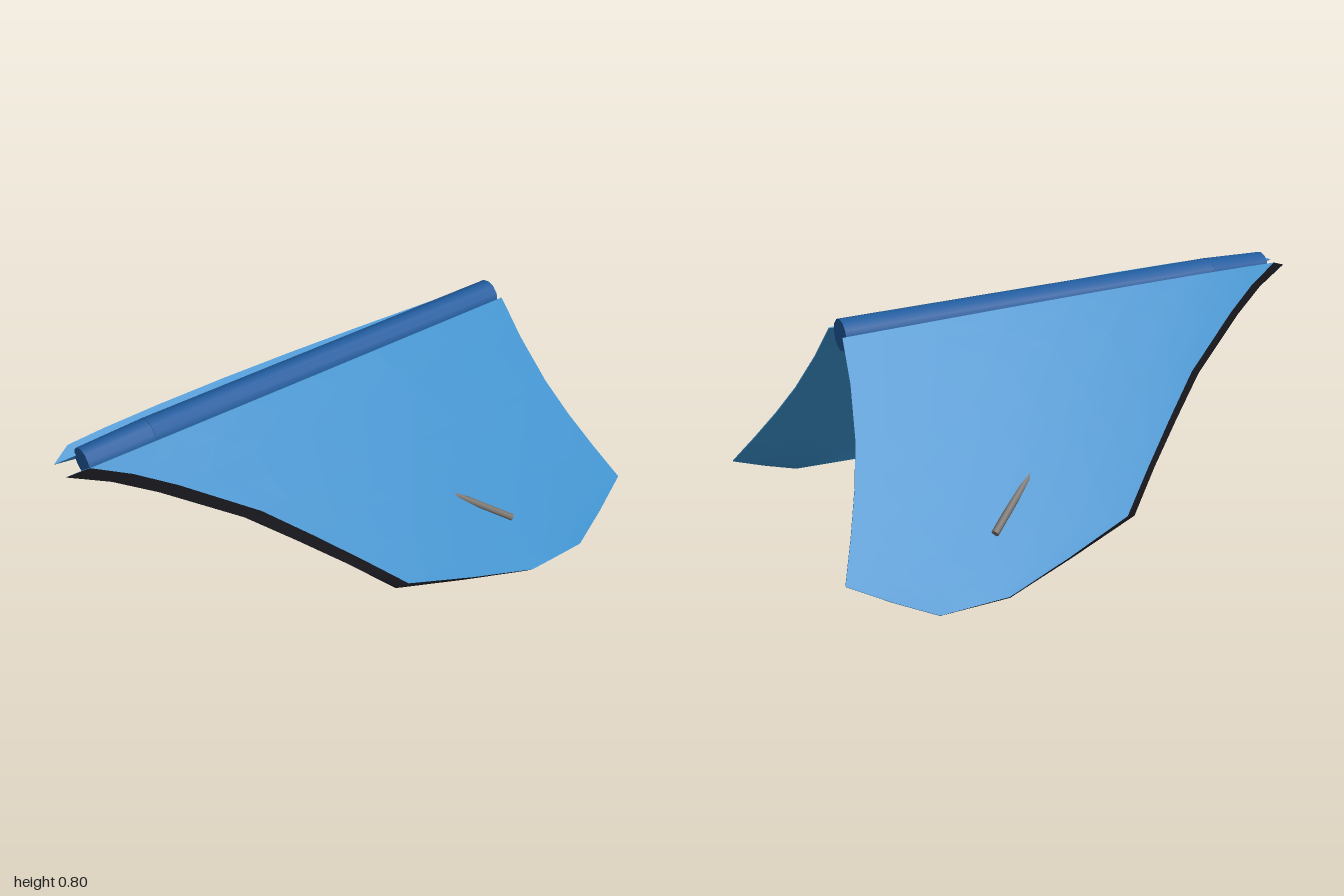
import * as THREE from 'three';

const mat = (name, color, side = THREE.FrontSide) => {
  const m = new THREE.MeshStandardMaterial({ color, side });
  m.name = name;
  return m;
};

// Wing stations, root to tip: [x, leading z, trailing z, edge setback]
const STATIONS = [
  [0.058, 0.99, -0.785, 0.07], [0.1, 0.855, -0.793, 0.06], [0.155, 0.72, -0.803, 0.055],
  [0.27, 0.475, -0.84, 0.05], [0.36, 0.325, -0.885, 0.045], [0.45, 0.18, -0.94, 0.04],
  [0.54, 0.045, -1.0, 0.04], [0.592, -0.225, -0.865, 0.02], [0.638, -0.48, -0.73, 0.01],
];
const CHORD = [0, 0.08, 0.2, 0.35, 0.5, 0.65, 0.8, 0.92, 1];
const ROOT = [0.058, 0.755], DIR = [0.614, -0.789], NORMAL = [0.789, 0.614];

// Point on the wing skin; outer or inner side, f = fraction of the chord from the front
function skinPoint(station, f, outer, s) {
  const [x, lead, trail, setback] = station;
  const t = (x - ROOT[0]) / (0.638 - ROOT[0]);
  const front = outer ? lead - setback : lead;
  const thick = 1 - 0.5 * t;
  const shape = outer
    ? 0.017 * (1 - f) + 0.019 * Math.sin(Math.PI * Math.pow(f, 0.75)) * (1 - t * 0.8)
    : -0.022 * (1 - f);
  const off = shape * thick + (outer ? 0.002 : -0.002);
  const along = (x - ROOT[0]) / DIR[0];
  return [
    s * (ROOT[0] + along * DIR[0] + off * NORMAL[0]),
    ROOT[1] + along * DIR[1] + off * NORMAL[1],
    front + (trail - front) * f,
  ];
}

// Surface from rows of points
function surface(rows, flip) {
  const cols = rows[0].length, index = [];
  for (let i = 0; i < rows.length - 1; i++) {
    for (let j = 0; j < cols - 1; j++) {
      const a = i * cols + j, b = a + 1, c = a + cols, d = c + 1;
      if (flip) index.push(a, c, b, b, c, d);
      else index.push(a, b, c, b, d, c);
    }
  }
  const g = new THREE.BufferGeometry();
  g.setAttribute('position', new THREE.Float32BufferAttribute(rows.flat(2), 3));
  g.setIndex(index);
  g.computeVertexNormals();
  return g;
}

function buildWing(s, skin, edge) {
  const wing = new THREE.Group();
  wing.name = s > 0 ? 'leftWing' : 'rightWing';
  const right = s < 0;
  const add = (name, rows, flip, material) => {
    const mesh = new THREE.Mesh(surface(rows, flip), material);
    mesh.name = name;
    wing.add(mesh);
  };
  const side = (outer) => STATIONS.map((st) => CHORD.map((f) => skinPoint(st, f, outer, s)));
  const pair = (st, f) => [skinPoint(st, f, true, s), skinPoint(st, f, false, s)];
  const root = STATIONS[0], tip = STATIONS[STATIONS.length - 1];
  add('outerSkin', side(true), !right, skin);
  add('innerSkin', side(false), right, skin);
  add('leadingEdge', STATIONS.map((st) => pair(st, 0)), right, edge);
  add('trailingEdge', STATIONS.map((st) => pair(st, 1)), !right, skin);
  add('rootEdge', CHORD.map((f) => pair(root, f)), !right, skin);
  add('tipEdge', CHORD.map((f) => pair(tip, f)), right, edge);
  return wing;
}

// Tapered rod between two points
function buildRod(from, to, r0, r1, material) {
  const a = new THREE.Vector3(...from), b = new THREE.Vector3(...to);
  const d = b.clone().sub(a);
  const rod = new THREE.Mesh(new THREE.CylinderGeometry(r1, r0, d.length(), 8), material);
  rod.position.copy(a).add(b).multiplyScalar(0.5);
  rod.quaternion.setFromUnitVectors(new THREE.Vector3(0, 1, 0), d.normalize());
  return rod;
}

export function createModel() {
  const model = new THREE.Group();
  model.name = 'foldedGlider';
  const skin = mat('wingBlue', 0x3a8fcb);
  const edge = mat('edgeBlack', 0x1a1a20);
  const spineBlue = mat('spineBlue', 0x205c9e);
  const grey = mat('strutGrey', 0x77736f);

  // Spine tube, slightly narrower at the nose
  const body = buildRod([0, 0.745, -0.77], [0, 0.745, 0.67], 0.055, 0.055, spineBlue);
  body.geometry = new THREE.CylinderGeometry(0.055, 0.055, 1.44, 12);
  body.name = 'spine';
  const nose = buildRod([0, 0.745, 0.67], [0, 0.74, 0.91], 0.055, 0.05, spineBlue);
  nose.geometry = new THREE.CylinderGeometry(0.05, 0.055, 0.24, 12);
  nose.name = 'spineNose';
  model.add(body, nose);

  // Wings and the struts crossing them
  for (const s of [1, -1]) {
    model.add(buildWing(s, skin, edge));
    const strut = buildRod([s * 0.055, 0.675, 0.28], [s * 0.527, 0.185, -0.48], 0.014, 0.013, grey);
    strut.name = s > 0 ? 'leftStrut' : 'rightStrut';
    model.add(strut);
  }
  return model;
}
